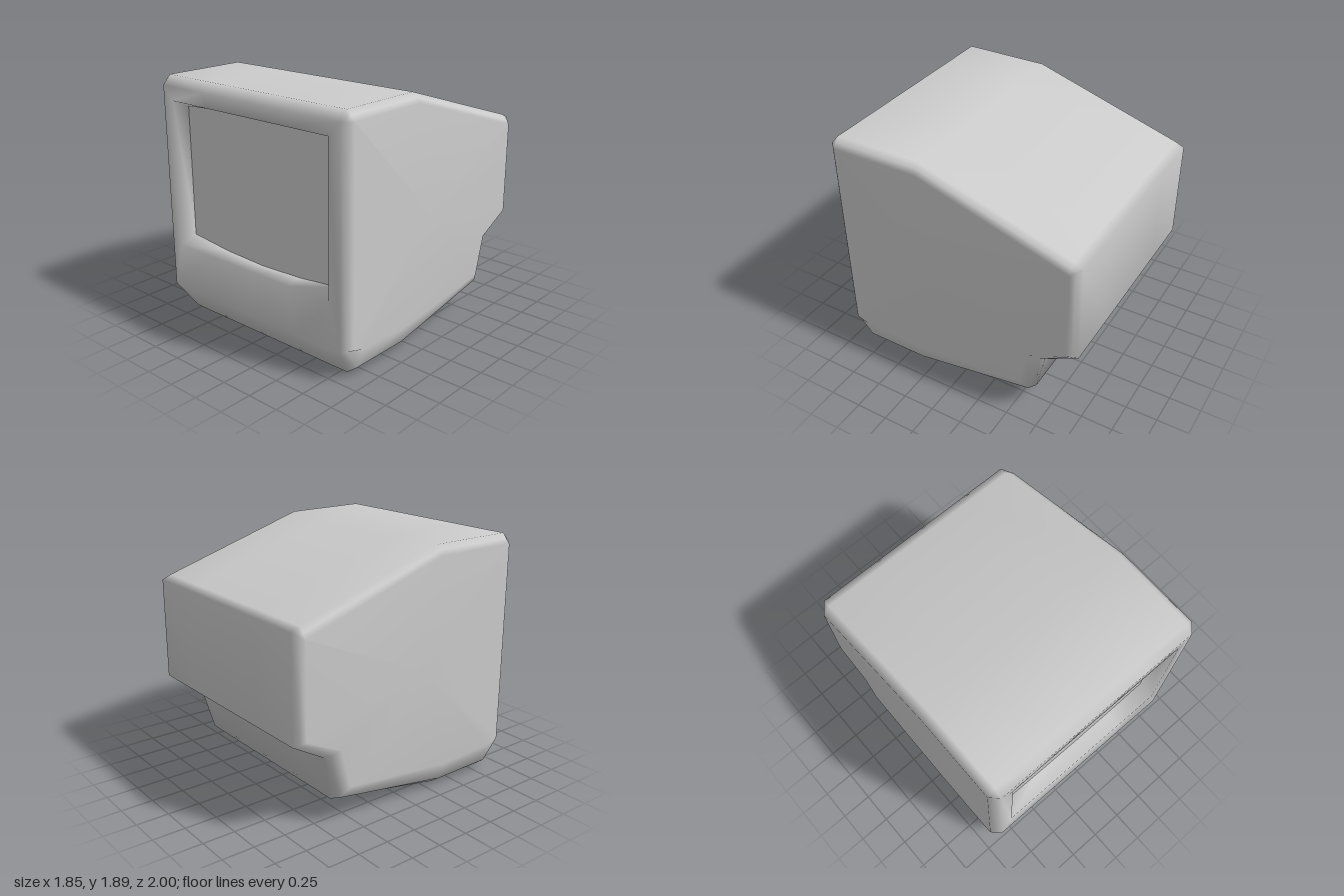
import * as THREE from 'three';

// Side profile, front top -> over the top -> back -> bottom -> front.
// Each row: z, y of the full section, its half width, then z, y of the flat side panel.
const PROFILE = [
  [1, 1.82, 0.86, 0.935, 1.815],
  [0.935, 1.89, 0.86, 0.93, 1.82],
  [0.26, 1.89, 0.86, 0.25, 1.82],
  [-0.93, 1.52, 0.86, -0.925, 1.45],
  [-1, 1.49, 0.86, -0.93, 1.44],
  [-1, 0.70, 0.86, -0.93, 0.74],
  [-0.73, 0.54, 0.84, -0.64, 0.60],
  [-0.64, 0.18, 0.795, -0.56, 0.30],
  [0.35, 0, 0.795, 0.34, 0.20],
  [0.85, 0, 0.795, 0.84, 0.22],
  [1, 0.23, 0.86, 0.935, 0.25],
];
const SIDE_X = 0.925;
const SCREEN_Z = 0.87;

// Sections from the middle outwards
function section(level) {
  return PROFILE.map(([z, y, w, cz, cy], i) => {
    if (level <= 2) return [w * level / 2, y, z];
    if (level === 4) return [SIDE_X, cy, cz];
    const low = i >= 6 && i <= 9;
    const t = low ? 0.3 : 0.5;
    return [low ? 0.88 : (w + SIDE_X) / 2, y + (cy - y) * t, z + (cz - z) * t];
  });
}

// Clockwise loop around the screen; rows of x, top y, bottom y are mirrored
function screenLoop(half, z) {
  const row = [...half].reverse().map(([x, t, b]) => [-x, t, b]).concat(half.slice(1));
  return [
    ...row.map(([x, t]) => [x, t, z]),
    ...row.map(([x, , b]) => [x, b, z]).reverse(),
  ];
}

export function createModel() {
  const group = new THREE.Group();
  const material = new THREE.MeshStandardMaterial({ color: 0xcccccc });
  const positions = [];
  const index = [];
  const add = (p) => positions.push(...p) / 3 - 1;
  const quad = (a, b, c, d) => index.push(a, b, d, b, c, d);

  // Shell: nine sections across, mirrored about the middle
  const columns = [];
  for (let j = -4; j <= 4; j++) {
    const s = Math.sign(j);
    columns.push(section(Math.abs(j)).map(([x, y, z]) => add([s * x, y, z])));
  }
  const n = PROFILE.length;
  for (let j = 0; j < 8; j++) {
    for (let i = 0; i < n; i++) {
      if (i === n - 1 && j >= 2 && j < 6) continue; // left open for the bezel
      const k = (i + 1) % n;
      quad(columns[j][i], columns[j + 1][i], columns[j + 1][k], columns[j][k]);
    }
  }

  // Flat side panels
  for (const s of [-1, 1]) {
    const ring = columns[s < 0 ? 0 : 8];
    const centre = add([s * SIDE_X, 1, 0.1]);
    for (let i = 0; i < n; i++) {
      const a = ring[i], b = ring[(i + 1) % n];
      if (s > 0) index.push(centre, b, a);
      else index.push(centre, a, b);
    }
  }

  // Bezel face and recess walls
  const front = columns.slice(2, 7);
  const outer = [...front.map((c) => c[0]), ...front.map((c) => c[n - 1]).reverse()];
  const rim = screenLoop([[0, 1.715, 0.58], [0.38, 1.715, 0.58], [0.76, 1.715, 0.58]], 1).map(add);
  const screenPoints = screenLoop([[0, 1.715, 0.58], [0.37, 1.7, 0.595], [0.745, 1.655, 0.635]], SCREEN_Z);
  const inner = screenPoints.map(add);
  for (const [a, b] of [[outer, rim], [rim, inner]]) {
    for (let k = 0; k < a.length; k++) {
      const m = (k + 1) % a.length;
      quad(a[k], b[k], b[m], a[m]);
    }
  }

  const shell = new THREE.BufferGeometry();
  shell.setAttribute('position', new THREE.Float32BufferAttribute(positions, 3));
  shell.setIndex(index);
  shell.computeVertexNormals();
  const housing = new THREE.Mesh(shell, material);
  housing.name = 'housing';
  group.add(housing);

  // Flat screen at the back of the recess
  const shape = new THREE.Shape(screenPoints.map(([x, y]) => new THREE.Vector2(x, y)));
  const screen = new THREE.Mesh(new THREE.ShapeGeometry(shape), material);
  screen.position.z = SCREEN_Z;
  screen.name = 'screen';
  group.add(screen);

  return group;
}
